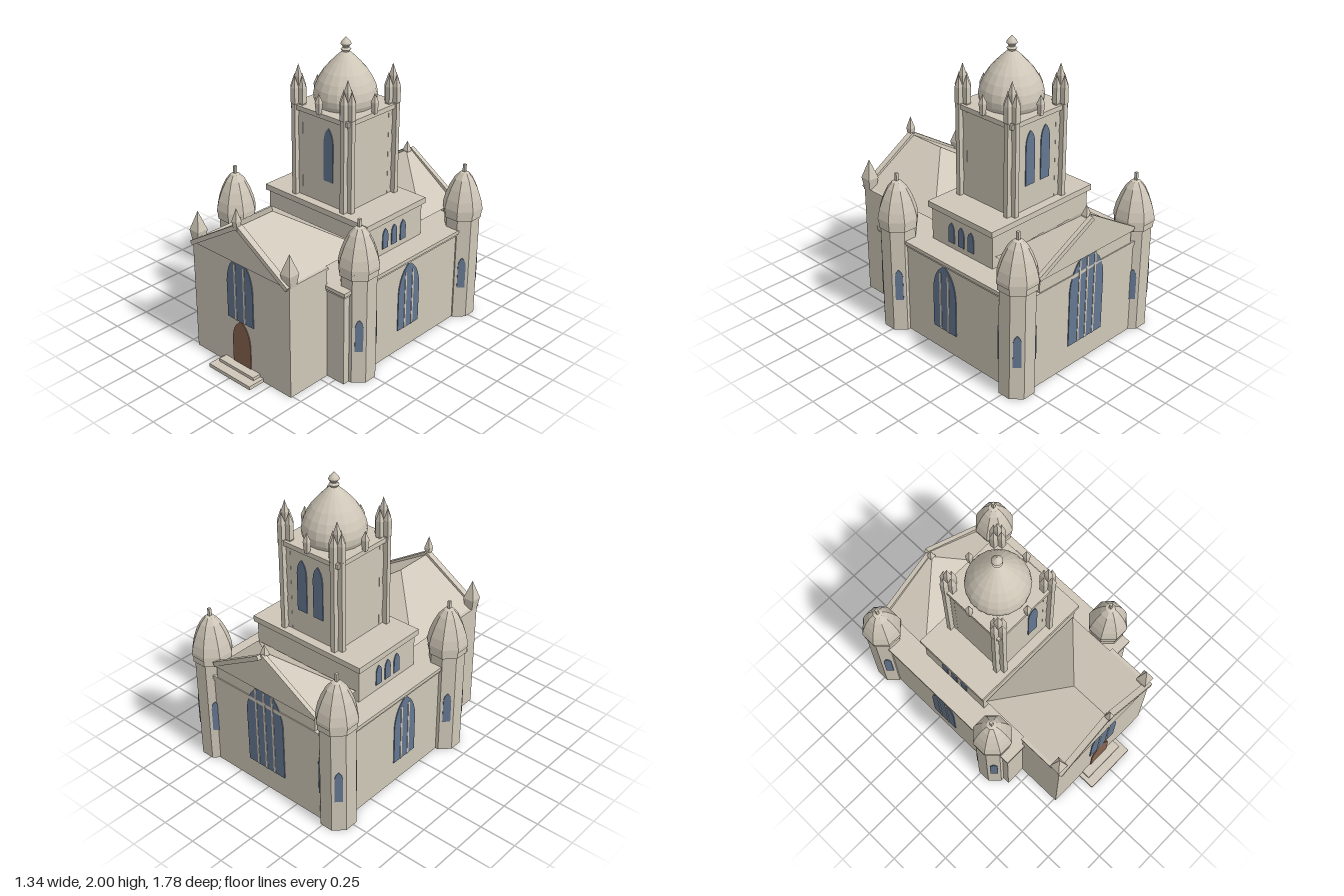
import * as THREE from 'three';

export function createModel() {
  const model = new THREE.Group();
  model.name = 'church';
  const stone = new THREE.MeshStandardMaterial({ color: 0xcfc7b8, flatShading: true, side: THREE.DoubleSide });
  stone.name = 'stone';
  const glass = new THREE.MeshStandardMaterial({ color: 0x647690 });
  glass.name = 'blue glass';
  const wood = new THREE.MeshStandardMaterial({ color: 0x87644f });
  wood.name = 'brown wood';

  const add = (name, geo, mat = stone, parent = model) => {
    const m = new THREE.Mesh(geo, mat);
    m.name = name;
    parent.add(m);
    return m;
  };
  // box given by its limits on each axis
  const box = (name, x0, x1, y0, y1, z0, z1, parent) => {
    const g = new THREE.BoxGeometry(x1 - x0, y1 - y0, z1 - z0);
    g.translate((x0 + x1) / 2, (y0 + y1) / 2, (z0 + z1) / 2);
    return add(name, g, stone, parent);
  };
  // turned or faceted part; profile radii run to the flat of each side
  const turned = (name, profile, sides, x, z, parent) => {
    const k = 1 / Math.cos(Math.PI / sides);
    const g = new THREE.LatheGeometry(profile.map(([r, y]) => new THREE.Vector2(r * k, y)), sides);
    g.rotateY(Math.PI / sides);
    g.translate(x, 0, z);
    return add(name, g, stone, parent);
  };
  const finial = (name, half, y0, yMid, yTop, x, z, parent) =>
    turned(name, [[half * 0.7, y0], [half, yMid], [0, yTop]], 4, x, z, parent);
  const polygonMesh = (name, corners, index) => {
    const g = new THREE.BufferGeometry();
    g.setAttribute('position', new THREE.Float32BufferAttribute(corners.flat(), 3));
    g.setIndex(index);
    g.computeVertexNormals();
    return add(name, g);
  };
  // upright walls along a path of [x, z] points
  const walls = (name, path, height) => {
    const corners = [], index = [];
    path.forEach(([x, z], i) => {
      corners.push([x, 0, z], [x, height, z]);
      if (i) {
        const a = 2 * i - 2;
        index.push(a, a + 2, a + 3, a, a + 3, a + 1);
      }
    });
    return polygonMesh(name, corners, index);
  };
  // thin pointed-arch panel with optional mullions
  const arch = (name, w, h, rise, x, y, z, turn, mat = glass, bars = [], barTop = 0) => {
    const group = new THREE.Group();
    group.name = name;
    const s = new THREE.Shape();
    s.moveTo(-w / 2, 0);
    s.lineTo(w / 2, 0);
    s.lineTo(w / 2, h - rise);
    s.quadraticCurveTo(w * 0.46, h - rise * 0.3, 0, h);
    s.quadraticCurveTo(-w * 0.46, h - rise * 0.3, -w / 2, h - rise);
    add(name + 'Panel', new THREE.ExtrudeGeometry(s, { depth: 0.006, bevelEnabled: false, curveSegments: 6 }), mat, group);
    for (const b of bars) box('mullion', b - 0.007, b + 0.007, 0, barTop, 0, 0.009, group);
    group.position.set(x, y, z);
    group.rotation.y = turn;
    model.add(group);
  };
  // gable roof, hipped at its inner end
  const roof = (name, w, eave, ridge, zGable, zRidge, zHip) => polygonMesh(name,
    [[-w, eave, zGable], [w, eave, zGable], [0, ridge, zGable], [0, ridge, zRidge], [-w, eave, zHip], [w, eave, zHip]],
    [0, 1, 2, 0, 2, 3, 0, 3, 4, 1, 5, 3, 1, 3, 2, 4, 3, 5]);
  // straight bar between two points
  const coping = (name, a, b, thick, depth) => {
    const p = new THREE.Vector3(...a), q = new THREE.Vector3(...b);
    const m = add(name, new THREE.BoxGeometry(depth, thick, p.distanceTo(q)));
    m.position.copy(p).add(q).multiplyScalar(0.5);
    m.lookAt(q);
  };

  // Nave and front wing, open underneath
  walls('naveWalls', [[0.43, 0.44], [0.57, 0.44], [0.57, -0.84], [-0.57, -0.84], [-0.57, 0.44], [-0.43, 0.44]], 0.63);
  walls('wingWalls', [[-0.43, 0.44], [-0.43, 0.765], [0.43, 0.765], [0.43, 0.44]], 0.78);
  box('naveCornice', -0.58, 0.58, 0.63, 0.645, -0.843, 0.45);
  box('naveCorniceLip', -0.587, 0.587, 0.645, 0.67, -0.847, 0.457);
  box('wingLedge', -0.433, 0.433, 0.77, 0.785, 0.43, 0.768);
  box('backWallTop', -0.42, 0.42, 0.67, 0.77, -0.84, -0.82);

  // Gable roofs and copings
  roof('frontRoof', 0.41, 0.785, 1.035, 0.78, 0.475, 0.09);
  roof('backRoof', 0.42, 0.76, 1.03, 0.853, 0.81, 0.47).rotation.y = Math.PI;
  for (const s of [-1, 1]) {
    coping('frontCoping', [s * 0.425, 0.775, 0.765], [0, 1.04, 0.765], 0.03, 0.042);
    coping('backCoping', [s * 0.43, 0.77, -0.84], [0, 1.025, s > 0 ? -0.865 : -0.84], 0.03, 0.03);
    finial('cornerFinial', 0.04, 0.775, 0.86, 0.99, s * 0.405, 0.735);
  }
  finial('frontFinial', 0.021, 1.02, 1.08, 1.165, 0, 0.775);
  finial('backFinial', 0.021, 0.98, 1.03, 1.095, 0, -0.82);

  // Entrance
  box('lowerStep', -0.187, 0.187, 0, 0.025, 0.76, 0.887);
  box('upperStep', -0.157, 0.157, 0.025, 0.046, 0.76, 0.825);
  arch('door', 0.16, 0.32, 0.15, 0, 0.046, 0.765, 0, wood);

  // Large windows
  arch('frontWindow', 0.23, 0.47, 0.21, 0, 0.365, 0.766, 0, glass, [-0.04, 0.04], 0.4);
  arch('backWindow', 0.31, 0.64, 0.24, 0, 0.16, -0.841, Math.PI, glass, [-0.07, 0, 0.07], 0.59);
  for (const s of [-1, 1]) {
    arch('sideWindow', 0.205, 0.475, 0.2, s * 0.57, 0.155, -0.175, s * Math.PI / 2, glass, [-0.035, 0.035], 0.415);
    for (const z of [-0.095, -0.182, -0.268])
      arch('clerestoryWindow', 0.052, 0.14, 0.055, s * 0.43, 0.71, z, s * Math.PI / 2);
  }

  // Octagonal corner turrets
  for (const [tx, z] of [[0.547, 0.283], [0.532, -0.768]]) for (const s of [-1, 1]) {
    const x = s * tx;
    turned('turretShaft', [[0.11, 0], [0.11, 0.745]], 8, x, z);
    turned('turretCap', [[0.11, 0.74], [0.12, 0.742], [0.12, 0.782], [0.125, 0.785], [0.125, 0.81], [0.113, 0.87],
      [0.09, 0.94], [0.06, 1.005], [0.03, 1.045], [0, 1.056]], 8, x, z);
    box('turretRod', x - 0.009, x + 0.009, 1.04, 1.104, z - 0.009, z + 0.009);
    for (let i = 0; i < 4; i++) {
      const a = Math.PI / 4 + i * Math.PI / 2;
      arch('turretWindow', 0.052, 0.225, 0.06, x + 0.11 * Math.sin(a), 0.235, z + 0.11 * Math.cos(a), a);
    }
  }

  // Square base and main tower
  const cz = -0.185;
  box('towerBase', -0.43, 0.43, 0.67, 0.9, cz - 0.27, cz + 0.27);
  box('towerBaseCornice', -0.45, 0.45, 0.9, 0.94, cz - 0.286, cz + 0.286);
  box('towerShaft', -0.225, 0.225, 0.94, 1.53, cz - 0.225, cz + 0.225);
  box('towerCornice', -0.245, 0.245, 1.53, 1.562, cz - 0.245, cz + 0.245);
  arch('towerFrontWindow', 0.078, 0.365, 0.1, 0.066, 1.105, cz + 0.225, 0);
  for (const s of [-1, 1]) arch('towerBackWindow', 0.078, 0.365, 0.1, s * 0.066, 1.105, cz - 0.225, Math.PI);

  // Clustered corner piers with pinnacles
  for (const sx of [-1, 1]) for (const sz of [-1, 1])
    for (const [dx, dz] of [[0, 0], [1, 0], [-1, 0], [0, 1], [0, -1]]) {
      const x = sx * 0.21 + dx * 0.034, z = cz + sz * 0.21 + dz * 0.034, up = dx || dz ? 0 : 0.07;
      box('pier', x - 0.016, x + 0.016, 0.94, 1.57 + up, z - 0.016, z + 0.016);
      turned('pinnacle', [[0.014, 1.565 + up], [0.018, 1.57 + up], [0.018, 1.675 + up], [0, 1.755 + up]], 4, x, z);
    }
  for (const [x, z] of [[0.245, 0], [-0.245, 0], [0, 0.245], [0, -0.245]])
    finial('sidePinnacle', 0.018, 1.555, 1.63, 1.69, x, cz + z);

  // Dome and its knobbed tip
  turned('dome', [[0.185, 1.56], [0.198, 1.59], [0.202, 1.63], [0.193, 1.68], [0.172, 1.73], [0.138, 1.785],
    [0.1, 1.83], [0.062, 1.87], [0.035, 1.895], [0.02, 1.905]], 20, 0, cz);
  turned('domeTip', [[0.02, 1.9], [0.032, 1.918], [0.02, 1.93], [0.02, 1.936], [0.034, 1.953], [0.028, 1.967],
    [0.013, 1.985], [0, 2]], 12, 0, cz);

  return model;
}
